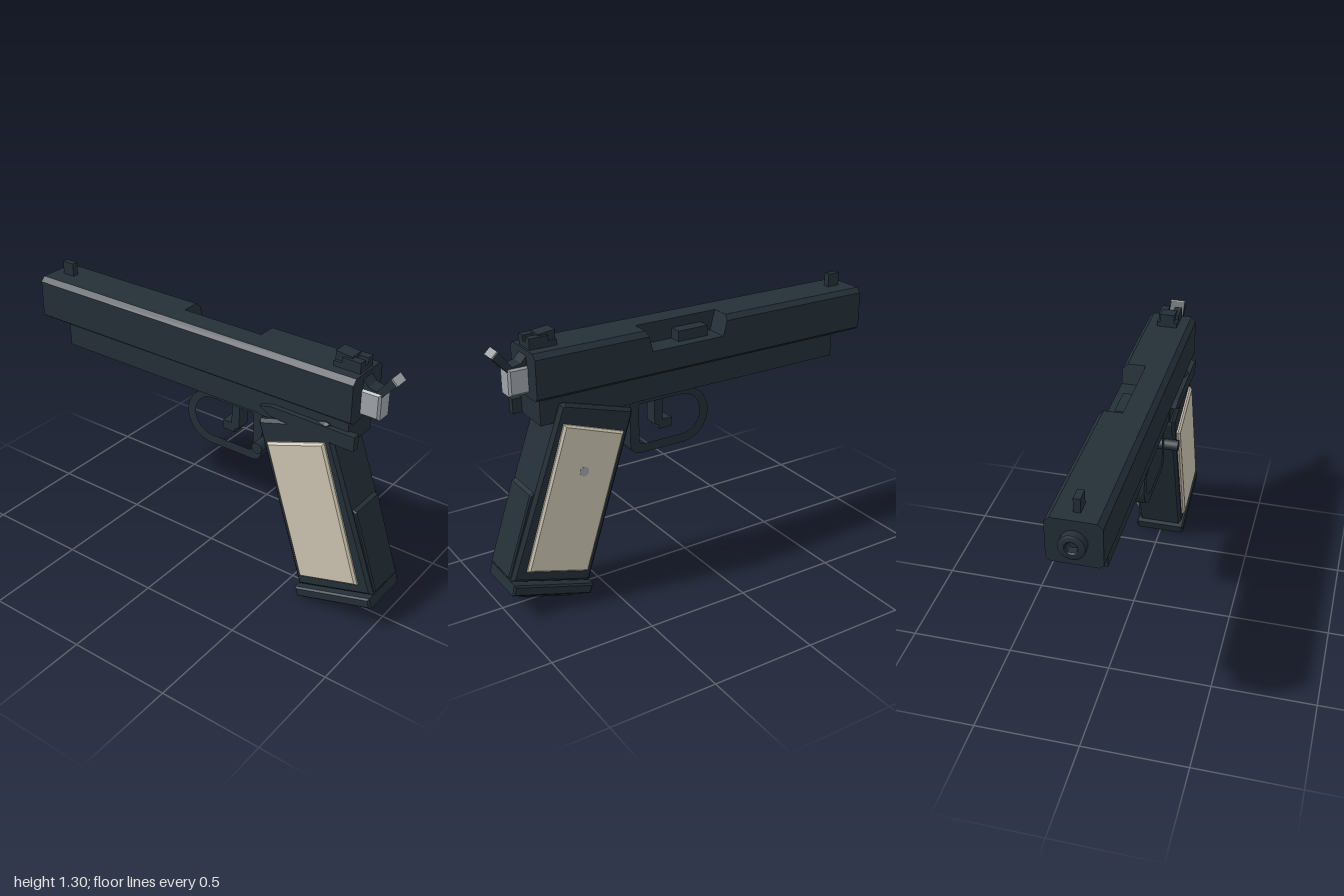
import * as THREE from 'three';
import { toCreasedNormals } from 'three/addons/utils/BufferGeometryUtils.js';

const material = (name, color) => {
  const m = new THREE.MeshStandardMaterial({ color });
  m.name = name;
  return m;
};
const toShape = (pts) => new THREE.Shape(pts.map(([a, b]) => new THREE.Vector2(a, b)));

// Side outline in (z, y), extruded across x from x0 to x1, with an optional bevel inside those limits
function sideExtrude(shape, x0, x1, bevel = 0) {
  const geo = new THREE.ExtrudeGeometry(shape, {
    depth: x1 - x0 - 2 * bevel, bevelEnabled: bevel > 0, bevelSize: bevel, bevelThickness: bevel,
    bevelOffset: -bevel, bevelSegments: 1, curveSegments: 16,
  });
  return geo.rotateY(-Math.PI / 2).translate(x1 - bevel, 0, 0);
}

// Cross-section in (x, y), extruded along z from z0 to z1
function lengthExtrude(pts, z0, z1) {
  return new THREE.ExtrudeGeometry(toShape(pts), { depth: z1 - z0, bevelEnabled: false }).translate(0, 0, z0);
}

export function createModel() {
  const group = new THREE.Group();
  const steel = material('darkSteel', 0x242f37);
  const ivory = material('ivory', 0xcdc5b2);
  const silver = material('silver', 0xa0a4aa);

  const add = (name, geo, mat = steel) => {
    const mesh = new THREE.Mesh(geo, mat);
    mesh.name = name;
    group.add(mesh);
    return mesh;
  };
  const box = (name, x0, x1, y0, y1, z0, z1, mat) => add(name,
    new THREE.BoxGeometry(x1 - x0, y1 - y0, z1 - z0)
      .translate((x0 + x1) / 2, (y0 + y1) / 2, (z0 + z1) / 2), mat);
  const side = (name, pts, x0, x1, bevel, mat) => add(name, sideExtrude(toShape(pts), x0, x1, bevel), mat);

  // Slide: full lower body, full upper right-hand half, split upper half around the port
  const zBack = 0.82, zMuzzle = -0.96, yPort = 1.145, yTop = 1.24;
  add('slideLower', lengthExtrude(
    [[-0.1, 1.025], [0.1, 1.025], [0.12, 1.04], [0.12, yPort], [-0.12, yPort], [-0.12, 1.04]], zMuzzle, zBack));
  add('slideUpper', lengthExtrude(
    [[-0.12, yPort], [0.01, yPort], [0.01, yTop], [-0.097, yTop], [-0.12, 1.217]], zMuzzle, zBack));
  const portHalf = [[0.01, yPort], [0.12, yPort], [0.12, 1.217], [0.097, yTop], [0.01, yTop]];
  for (const [name, z0, z1, moved, lean] of [
    ['slideUpperMuzzle', zMuzzle, -0.135, -0.135, -0.025],
    ['slideUpperRear', 0.245, zBack, 0.245, 0.025],
  ]) {
    const geo = lengthExtrude(portHalf, z0, z1);
    const p = geo.attributes.position;
    // lean the wall that borders the port
    for (let i = 0; i < p.count; i++) {
      if (Math.abs(p.getZ(i) - moved) < 1e-4) p.setZ(i, moved + lean * (p.getY(i) - yPort) / (yTop - yPort));
    }
    geo.computeVertexNormals();
    add(name, geo);
  }
  box('chamberBlock', 0.01, 0.07, 1.13, 1.195, -0.08, 0.08);

  // Barrel end with a hollow bore
  const muzzle = [[0.025, 0], [0.058, 0], [0.058, 0.04], [0.05, 0.045], [0.03, 0.045], [0.025, 0.04], [0.025, 0]]
    .map(([r, h]) => new THREE.Vector2(r, h));
  add('muzzle', toCreasedNormals(
    new THREE.LatheGeometry(muzzle, 32).rotateX(-Math.PI / 2).translate(0, 1.135, -0.955), 0.6));

  // Sights
  box('frontSight', -0.015, 0.015, 1.23, 1.305, -0.905, -0.84);
  side('rearSightBase', [[0.81, 1.235], [0.68, 1.235], [0.68, 1.265], [0.81, 1.265]], -0.05, 0.05);
  for (const s of [-1, 1]) {
    const [a, b] = s > 0 ? [0.013, 0.05] : [-0.05, -0.013];
    box('rearSightPost', a, b, 1.25, 1.29, 0.72, 0.81);
  }
  side('rearSightRamp', [[0.76, 1.25], [0.68, 1.25], [0.68, 1.306], [0.76, 1.297]], -0.036, 0.036);

  // Frame, rear tang and lever
  side('frame', [[0.8, 0.91], [-0.81, 0.91], [-0.81, 1.03], [0.8, 1.03]], -0.093, 0.093);
  box('frameRear', -0.097, 0.097, 0.907, 1.03, 0.34, 0.8);
  side('safetyLever', [[0.845, 0.91], [0.78, 0.91], [0.42, 0.935], [0.36, 0.97], [0.42, 0.985], [0.845, 0.98]],
    -0.122, -0.085);

  // Hammer
  side('hammerBody', [[0.91, 1.045], [0.91, 1.17], [0.8, 1.17], [0.8, 1.045]], -0.045, 0.045, 0.01, silver);
  side('hammerSpur', [[0.973, 1.228], [0.945, 1.255], [0.885, 1.175], [0.845, 1.185], [0.81, 1.225],
    [0.81, 1.15], [0.905, 1.15]], -0.036, 0.036);
  side('hammerTip', [[0.973, 1.228], [0.978, 1.231], [0.949, 1.259], [0.945, 1.255]], -0.036, 0.036, 0, silver);

  // Grip
  side('grip', [[0.995, 0.2], [0.71, 0.99], [0.69, 0.995], [0.355, 0.895], [0.35, 0.875], [0.605, 0.08]],
    -0.118, 0.118, 0.015);
  side('backstrap', [[0.99, 0.2], [0.997, 0.215], [0.87, 0.592], [0.85, 0.6], [0.8, 0.58], [0.93, 0.18]],
    -0.097, 0.097, 0.006);
  side('basePlate', [[0.985, 0.185], [0.998, 0.135], [0.608, 0.017], [0.592, 0.066]], -0.13, 0.13, 0.008);
  side('basePad', [[0.955, 0.13], [0.945, 0.09], [0.68, 0.008], [0.66, 0.04]], -0.087, 0.087, 0.006);

  // Ivory grip panels, mirrored
  const panel = [[0.92, 0.235], [0.702, 0.904], [0.408, 0.8], [0.618, 0.144]];
  side('gripPanel', panel, 0.1, 0.136, 0.01, ivory);
  side('gripPanel', panel, -0.136, -0.1, 0.01, ivory);
  add('gripScrew', new THREE.CylinderGeometry(0.023, 0.023, 0.006, 16).rotateZ(Math.PI / 2)
    .translate(0.135, 0.66, 0.62), silver);
  const button = new THREE.CylinderGeometry(0.028, 0.028, 0.16, 8).rotateZ(Math.PI / 2);
  add('releaseButton', button.translate(-0.06, 0.757, 0.363));

  // Trigger guard: rounded loop with a matching hole
  const loop = (path, back, front, bottom, top, corner) => {
    const r = (top - bottom) / 2;
    path.moveTo(back, top);
    path.lineTo(back, bottom + corner);
    path.quadraticCurveTo(back, bottom, back - corner, bottom);
    path.lineTo(front + r, bottom);
    path.absarc(front + r, bottom + r, r, -Math.PI / 2, Math.PI / 2, true);
    path.lineTo(back, top);
    return path;
  };
  const guard = loop(new THREE.Shape(), 0.342, -0.083, 0.64, 0.915, 0.06);
  guard.holes.push(loop(new THREE.Path(), 0.295, -0.038, 0.684, 0.885, 0.03));
  add('triggerGuard', toCreasedNormals(sideExtrude(guard, -0.07, 0.07), 0.6));

  // Trigger
  side('trigger', [[0.19, 0.9], [0.19, 0.75], [0.165, 0.735], [0.165, 0.72], [0.098, 0.72], [0.098, 0.765],
    [0.147, 0.765], [0.147, 0.9]], -0.035, 0.035);

  return group;
}
